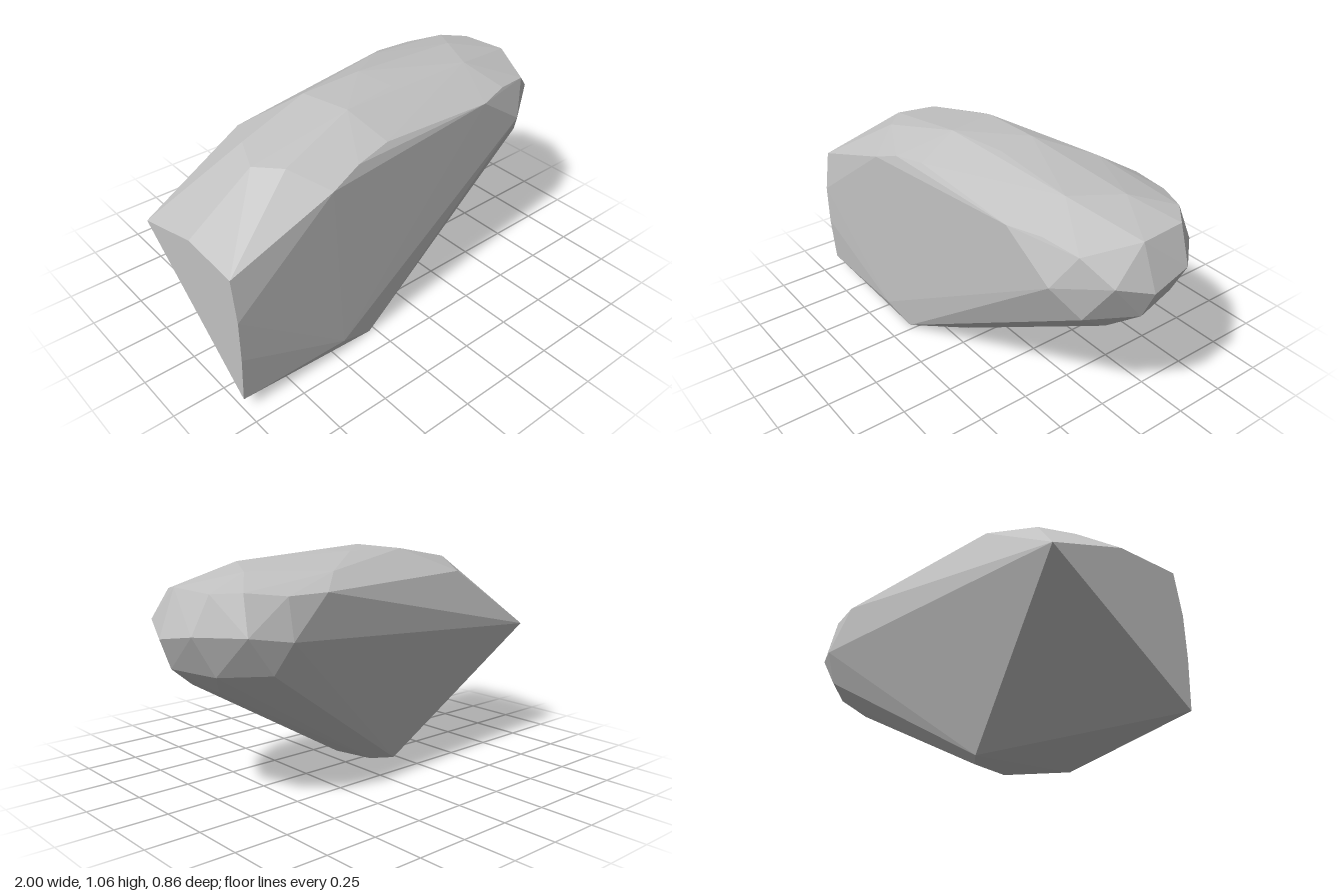
import * as THREE from 'three';
import { ConvexGeometry } from 'three/addons/geometries/ConvexGeometry.js';

// Corner points of the faceted boulder, grouped by region
const flatEnd = [
  [-1, 0.065, 0.415], [-1, 0.3, 0.43], [-1, 0.5, 0.43],
  [-1, 0.7, 0.4], [-1, 0.72, 0.1], [-1, 0.615, -0.27],
];
const base = [
  [-0.28, 0, 0.385], [-0.08, 0, 0.16], [-0.13, 0, -0.04], [-0.23, 0, -0.105], [-0.45, 0.06, 0.41],
];
const crown = [
  [-0.7, 0.965, 0.13], [-0.6, 0.965, 0.235], [-0.63, 0.98, -0.035],
  [-0.2, 1.055, 0.14], [-0.25, 1.05, -0.11], [0.07, 1.057, -0.11],
  [0.1, 1.05, 0.085], [0.55, 1.03, 0.1], [0.67, 1.015, -0.13], [0.32, 1.005, -0.29],
];
const shoulders = [
  [-0.48, 0.885, 0.395], [-0.33, 0.943, 0.372], [-0.15, 0.97, 0.345],
  [0.46, 0.935, 0.335], [0.63, 0.943, 0.285], [-0.52, 0.93, -0.24],
  [0.45, 0.94, -0.408], [0.64, 0.94, -0.39], [0.8, 0.96, -0.31],
];
const nose = [
  [0.92, 0.96, 0.01], [0.9, 0.955, -0.22], [0.81, 0.92, 0.245],
  [0.94, 0.81, 0.17], [1, 0.755, 0.005], [0.975, 0.79, -0.2],
  [0.825, 0.79, -0.37], [0.645, 0.76, -0.43], [0.72, 0.76, 0.32],
  [0.82, 0.62, 0.225], [0.945, 0.62, 0.015], [0.88, 0.615, -0.22],
  [0.7, 0.62, -0.367], [0.81, 0.52, 0.08], [0.8, 0.52, -0.115],
];

export function createModel() {
  const stone = new THREE.MeshStandardMaterial({ color: 0xc2c2c2 });
  stone.name = 'stone grey';

  // The convex hull gives flat facets with hard edges
  const points = [...flatEnd, ...base, ...crown, ...shoulders, ...nose]
    .map((p) => new THREE.Vector3(...p));
  const boulder = new THREE.Mesh(new ConvexGeometry(points), stone);
  boulder.name = 'boulder';

  const model = new THREE.Group();
  model.name = 'rock';
  model.add(boulder);
  return model;
}
